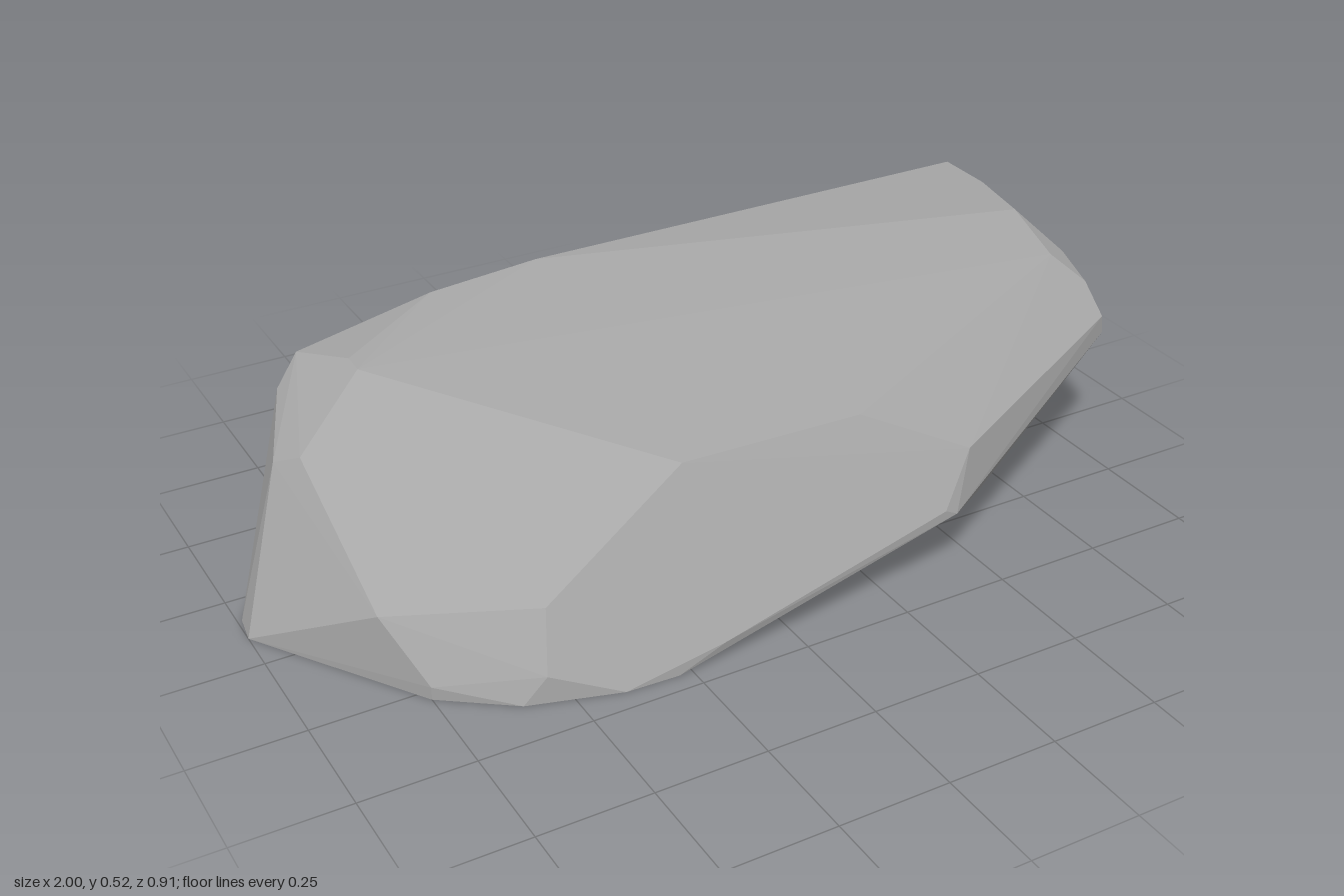
import * as THREE from 'three';
import { ConvexGeometry } from 'three/addons/geometries/ConvexGeometry.js';

// Corners of the faceted boulder, grouped by region
const crown = [
  [-0.65, 0.465, -0.27], [-0.65, 0.468, -0.32], [-0.4, 0.505, -0.455], [-0.14, 0.525, -0.455],
  [0.97, 0.525, -0.14], [0.94, 0.488, 0.04], [0.24, 0.39, 0.305], [-0.17, 0.375, 0.27],
];
const frontSide = [
  [0.47, 0.285, 0.39], [0.38, 0.18, 0.44], [0.41, 0.165, 0.44], [0.5, 0.165, 0.39],
  [-0.17, 0.045, 0.455], [-0.55, 0.06, 0.4], [-0.52, 0.18, 0.34],
];
const narrowEnd = [
  [1, 0.525, -0.455], [1, 0.525, -0.31], [1, 0.47, 0.01], [1, 0.43, 0.1], [1, 0.37, 0.17],
  [1, 0.33, 0.175], [1, 0.3, 0.14], [1, 0.345, -0.4], [1, 0.38, -0.455],
];
const backSide = [
  [0.84, 0.28, -0.41], [0.68, 0.28, -0.455], [0.44, 0.26, -0.455], [-0.82, 0.11, -0.42],
  [-0.79, 0.3, -0.43], [-0.78, 0.38, -0.425], [-0.72, 0.44, -0.455],
];
const bluntEnd = [
  [-0.86, 0.31, -0.25], [-0.82, 0.34, -0.19], [-0.81, 0.155, 0.17], [-0.75, 0.03, 0.28],
];
const underside = [
  [0.7, 0.15, 0.2], [0.51, 0.065, 0.09], [0.15, 0, 0.16], [-0.28, 0, 0.455], [-0.4, 0, 0.45],
  [-0.6, 0, 0.39], [-0.75, 0, 0.28], [-1, 0, -0.1], [-0.99, 0, -0.17],
];

export function createModel() {
  const group = new THREE.Group();
  group.name = 'boulder';

  const stone = new THREE.MeshStandardMaterial({ color: 0xa6a6a6, flatShading: true });
  stone.name = 'grey stone';

  // Wrap all corners in one flat-faced solid
  const corners = [crown, frontSide, narrowEnd, backSide, bluntEnd, underside]
    .flat()
    .map((p) => new THREE.Vector3(...p));
  const rock = new THREE.Mesh(new ConvexGeometry(corners), stone);
  rock.name = 'rock';
  group.add(rock);
  return group;
}
